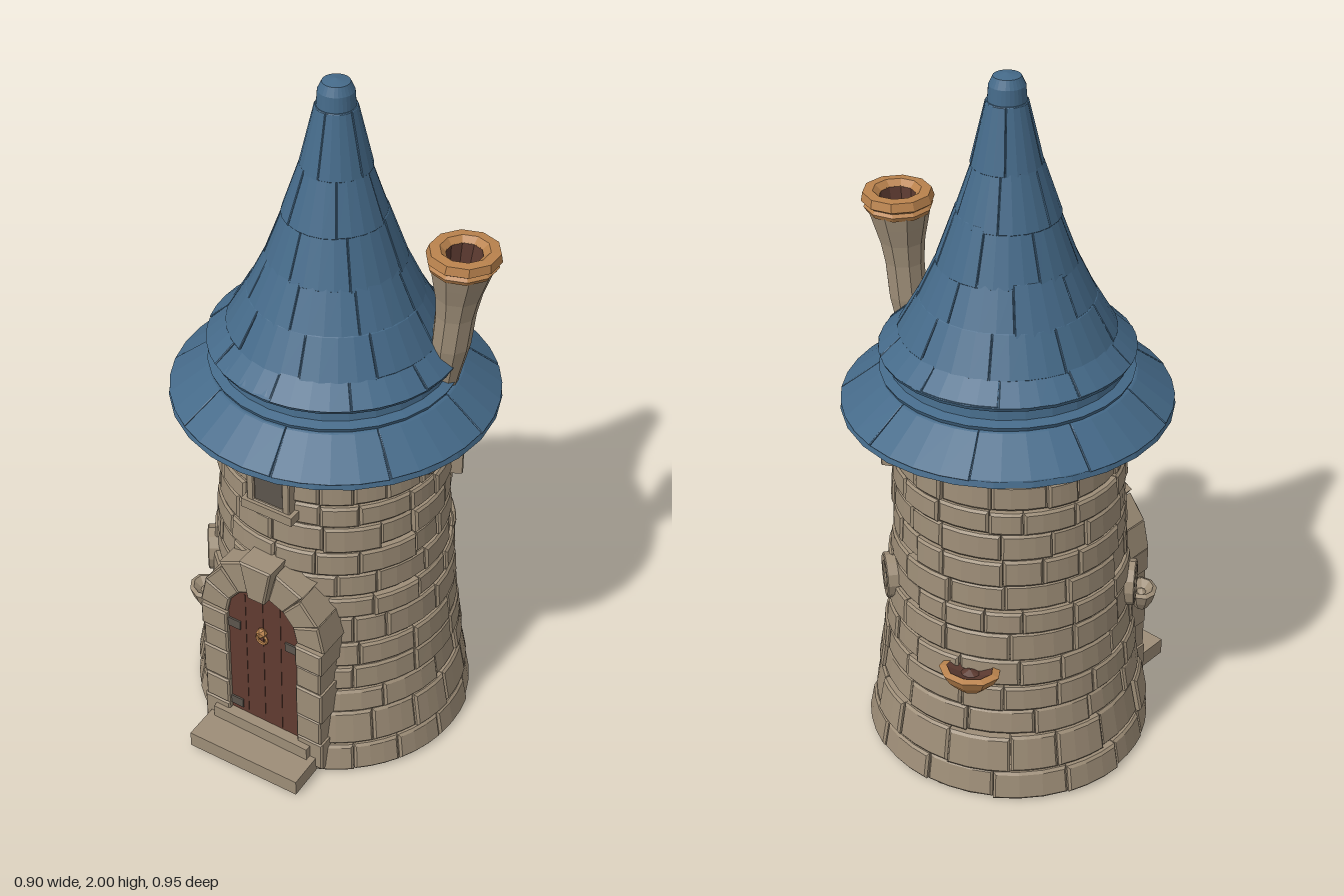
import * as THREE from 'three';
import { mergeGeometries } from 'three/addons/utils/BufferGeometryUtils.js';

const mat = (name, color) => new THREE.MeshStandardMaterial({ name, color, flatShading: true });
const lerp = THREE.MathUtils.lerp;

// piecewise-linear lookup through [y, value] pairs
const along = (pts) => (y) => {
  let i = 0;
  while (i < pts.length - 2 && y > pts[i + 1][0]) i++;
  const [y0, r0] = pts[i], [y1, r1] = pts[i + 1];
  return lerp(r0, r1, THREE.MathUtils.clamp((y - y0) / (y1 - y0), 0, 1));
};

const lathe = (pts, sides) =>
  new THREE.LatheGeometry(pts.map(([r, y]) => new THREE.Vector2(r, y)), sides);

// bevelled block wrapped round the y axis between two angles and two heights
function bentBlock(a0, a1, y0, y1, rIn, rOut, bevel, segs = 3) {
  const g = new THREE.BoxGeometry(1, 1, 1, segs, 1, 2), p = g.attributes.position;
  for (let i = 0; i < p.count; i++) {
    const w = p.getZ(i) + 0.5, inset = w > 0.9 ? bevel : 0;
    const y = lerp(y0 + inset, y1 - inset, p.getY(i) + 0.5);
    const ro = rOut(y), ia = inset / ro;
    const a = lerp(a0 + ia, a1 - ia, p.getX(i) + 0.5);
    const r = w < 0.1 ? rIn(y) : w < 0.9 ? ro - bevel * 0.8 : ro;
    p.setXYZ(i, Math.sin(a) * r, y, Math.cos(a) * r);
  }
  g.computeVertexNormals();
  return g;
}

// window outlines centred on the origin
function outline(kind, w, h) {
  const s = new THREE.Shape();
  if (kind === 'oval') s.absellipse(0, 0, w, h, 0, Math.PI * 2);
  else if (kind === 'rect') {
    s.moveTo(-w, -h); s.lineTo(w, -h); s.lineTo(w, h); s.lineTo(-w, h); s.closePath();
  } else {
    s.moveTo(-w, -h); s.lineTo(w, -h); s.lineTo(w, h * 0.2);
    s.quadraticCurveTo(w * 0.85, h * 0.65, 0, h);
    s.quadraticCurveTo(-w * 0.85, h * 0.65, -w, h * 0.2);
    s.closePath();
  }
  return s;
}
const extrude = (shape, depth, bevel = 0) => new THREE.ExtrudeGeometry(shape, {
  depth, curveSegments: 6, bevelEnabled: bevel > 0, bevelSize: bevel, bevelThickness: bevel, bevelSegments: 1,
});

export function createModel() {
  const model = new THREE.Group();
  const stone = mat('stone', 0x9d8d77), blue = mat('roof blue', 0x456a89), glass = mat('glass blue', 0x4a7596),
    red = mat('door wood', 0x613b30), tan = mat('tan', 0xb9824d), brown = mat('dark brown', 0x5c3a30), grey = mat('dark grey', 0x5c554d);
  let seed = 7;
  const rnd = (lo = 0, hi = 1) => {
    seed = (seed * 16807) % 2147483647;
    return lo + (hi - lo) * (seed / 2147483647);
  };
  const add = (name, geo, material, parent = model, x = 0, y = 0, z = 0) => {
    const m = new THREE.Mesh(geo, material);
    m.name = name; m.position.set(x, y, z); parent.add(m);
    return m;
  };
  const group = (name, parent = model) => {
    const g = new THREE.Group(); g.name = name; parent.add(g); return g;
  };

  // tower wall: plain core with courses of wrapped stones
  const tower = group('tower');
  tower.position.z = -0.02; tower.scale.z = 0.98;
  const R = along([[0, 0.415], [0.08, 0.4], [0.25, 0.368], [0.45, 0.347], [0.7, 0.33], [1, 0.312], [1.14, 0.29]]);
  const core = (y) => R(y) - 0.032;
  const ys = [0.01, 0.08, 0.25, 0.45, 0.7, 1, 1.14];
  add('wallCore', lathe([[0, 0], [0.4, 0], ...ys.map((y) => [core(y), y])], 28), stone, tower);
  const stones = [];
  const courses = [0.005, 0.09, 0.2, 0.28, 0.36, 0.44, 0.53, 0.6, 0.68, 0.76, 0.84, 0.91, 0.99, 1.06, 1.13];
  for (let i = 0; i < courses.length - 1; i++) {
    // lower courses stop either side of the doorway
    const gap = courses[i] < 0.58 ? 0.42 : 0, start = gap || rnd(0, 1);
    const stop = start + Math.PI * 2 - 2 * gap;
    for (let a = start; a < stop - 0.01;) {
      let end = a + rnd(0.28, 0.55);
      if (stop - end < 0.28) end = stop;
      const out = rnd(-0.006, 0.009), y0 = courses[i] + (i ? rnd(0, 0.005) : 0), y1 = courses[i + 1] - rnd(-0.002, 0.004);
      stones.push(bentBlock(a + 0.003, end - 0.003, y0, y1, (y) => core(y) - 0.02, (y) => R(y) + out, 0.007));
      a = end;
    }
  }
  add('wallStones', mergeGeometries(stones), stone, tower);

  // windows: angle, height, half width, half height
  const windows = [
    { name: 'frontWindow', a: 0, y: 0.97, w: 0.048, h: 0.085, kind: 'arch', pane: grey, rim: 0.017 },
    { name: 'rightOvalWindow', a: -0.98, y: 0.5, w: 0.042, h: 0.054, kind: 'oval', pane: grey, rim: 0.013 },
    { name: 'upperSideWindow', a: 1.48, y: 0.995, w: 0.03, h: 0.05, kind: 'oval', pane: glass, rim: 0.006 },
    { name: 'framedSideWindow', a: 2.08, y: 0.9, w: 0.024, h: 0.045, kind: 'oval', pane: glass, rim: 0.023, outer: 'rect', lift: 0.02 },
    { name: 'rearRoundWindow', a: 2.52, y: 0.53, w: 0.037, h: 0.044, kind: 'oval', pane: glass, rim: 0.02 },
  ];
  for (const o of windows) {
    const g = group(o.name, tower), r = R(o.y) - 0.03, lift = o.lift || 0;
    g.position.set(Math.sin(o.a) * r, o.y, Math.cos(o.a) * r);
    g.rotation.y = o.a;
    const ring = outline(o.outer || o.kind, o.w + o.rim, o.h + o.rim);
    ring.holes.push(new THREE.Path(outline(o.kind, o.w, o.h).getPoints(6)));
    add('windowFrame', extrude(ring, 0.047 + lift, 0.003), stone, g);
    add('windowPane', extrude(outline(o.kind, o.w + 0.002, o.h + 0.002), 0.006), o.pane, g, 0, 0, 0.037 + lift);
    if (o.kind === 'arch') add('windowSill', new THREE.BoxGeometry(0.16, 0.028, 0.07), stone, g, 0, -0.1, 0.025);
  }

  // ledge beneath the oval window, shelf fungus at the rear
  const shelf = (name, a, y, w, lift, material, top) => {
    const g = group(name, tower), r = R(y) + lift;
    g.position.set(Math.sin(a) * r, y, Math.cos(a) * r);
    g.rotation.y = a;
    const cup = add('shelfCup', lathe([[0, -0.045], [w * 0.45, -0.03], [w * 0.8, 0], [w, 0.03], [w * 0.75, 0.036]], 9), material, g);
    const lid = add('shelfTop', lathe([[w * 0.78, 0.034], [w * 0.3, 0.018], [0, 0.03]], 9), top, g);
    cup.scale.z = lid.scale.z = 0.8;
  };
  shelf('windowLedge', -0.76, 0.39, 0.056, 0.03, stone, stone);
  shelf('shelfFungus', Math.PI + 0.44, 0.385, 0.088, 0.01, tan, brown);

  // door with hinges and knocker
  const door = group('door');
  const leaf = new THREE.Shape();
  leaf.moveTo(-0.125, 0.09); leaf.lineTo(0.125, 0.09); leaf.lineTo(0.125, 0.48);
  leaf.absarc(0, 0.48, 0.125, 0, Math.PI); leaf.closePath();
  add('doorLeaf', extrude(leaf, 0.065), red, door, 0, 0, 0.28);
  for (const x of [-0.058, 0, 0.058])
    add('plankGroove', new THREE.BoxGeometry(0.003, x ? 0.46 : 0.49, 0.003), brown, door, x, x ? 0.335 : 0.35, 0.345);
  for (const [x, y] of [[-0.095, 0.13], [-0.095, 0.44], [0.095, 0.44]])
    add('hinge', new THREE.BoxGeometry(0.04, 0.03, 0.008), grey, door, x, y, 0.346);
  add('knockerBoss', new THREE.IcosahedronGeometry(0.017, 0), tan, door, 0, 0.455, 0.352);
  add('knockerRing', new THREE.TorusGeometry(0.016, 0.005, 5, 10), tan, door, 0, 0.432, 0.352);

  // stone door surround: jamb blocks, arch wedges and a keystone
  const quad = (pts) => extrude(new THREE.Shape(pts.map(([x, y]) => new THREE.Vector2(x, y))), 0.15, 0.005);
  const surround = group('doorSurround');
  const jambs = [0.02, 0.12, 0.21, 0.32, 0.4, 0.475];
  for (const s of [-1, 1]) for (let i = 0; i < 5; i++) {
    const h = jambs[i + 1] - jambs[i] - 0.011, w = i % 2 ? 0.07 : 0.076;
    add('jambStone', quad([[-w / 2, -h / 2], [w / 2, -h / 2], [w / 2, h / 2], [-w / 2, h / 2]]), stone, surround,
      s * (0.12 + w / 2), (jambs[i] + jambs[i + 1]) / 2, 0.203 + rnd(0, 0.006));
  }
  for (let i = 0; i < 7; i++) {
    const key = i === 3, a0 = (i / 7) * Math.PI + 0.03, a1 = ((i + 1) / 7) * Math.PI - 0.03;
    const at = (r, a) => [Math.cos(a) * r, 0.48 + Math.sin(a) * r];
    const out = key ? 0.235 : i === 2 || i === 4 ? 0.215 : 0.2;
    add(key ? 'keystone' : 'archStone', quad([at(0.12, a0), at(out, a0), at(out, a1), at(0.12, a1)]),
      stone, surround, 0, 0, key ? 0.224 : 0.2);
  }
  // front steps
  add('lowerStep', new THREE.BoxGeometry(0.36, 0.05, 0.17), stone, model, 0, 0.033, 0.383).rotation.y = 0.02;
  add('doorSill', new THREE.BoxGeometry(0.32, 0.05, 0.14), stone, model, 0, 0.073, 0.307);

  // roof: flared brim, collar and stepped cone of shingles
  const roof = group('roof');
  roof.position.z = -0.026;
  const tiers = [
    [1.098, 0.447, 1.178, 0.342, 9], [1.25, 0.342, 1.312, 0.275, 10], [1.3, 0.29, 1.4, 0.232, 9],
    [1.39, 0.238, 1.51, 0.18, 8], [1.5, 0.185, 1.64, 0.133, 7], [1.63, 0.138, 1.77, 0.09, 6], [1.765, 0.094, 1.93, 0.054, 5],
  ];
  const shell = [[0.27, 1.13], [0.385, 1.11], [0.428, 1.073], [0.449, 1.08], [0.444, 1.096], [0.336, 1.176],
    [0.342, 1.19], [0.316, 1.198], [0.311, 1.228], [0.337, 1.236], [0.343, 1.248]];
  for (const [y0, r0, y1, r1] of tiers.slice(1)) shell.push([r0 - 0.006, y0 + 0.002], [r1 - 0.004, y1]);
  shell.push([0.047, 1.97], [0.036, 1.993], [0, 2]);
  add('roofShell', lathe(shell, 28), blue, roof);
  const shingles = [];
  for (const [y0, r0, y1, r1, n] of tiers) {
    const r = along([[y0, r0], [y1, r1]]), shift = rnd(0, 1);
    for (let i = 0; i < n; i++) {
      const step = (Math.PI * 2) / n, a = shift + i * step, lift = rnd(-0.001, 0.003);
      shingles.push(bentBlock(a + 0.003, a + step - 0.003, y0 - rnd(0, 0.006), y1, (y) => r(y) - 0.015, (y) => r(y) + lift, 0.002, 4));
    }
  }
  add('shingles', mergeGeometries(shingles), blue, roof);
  // eaves: dark lining and rafters
  add('eavesLining', lathe([[0.27, 1.115], [0.388, 1.103]], 28), brown, roof);
  for (let i = 0; i < 18; i++) {
    const a = (i / 18) * Math.PI * 2;
    add('rafter', new THREE.BoxGeometry(0.03, 0.03, 0.13), i % 3 ? brown : tan, roof,
      Math.sin(a) * 0.335, 1.1, Math.cos(a) * 0.335).rotation.y = a;
  }

  // leaning chimney with a clay rim
  const chimney = group('chimney');
  chimney.position.z = -0.085;
  const lean = (g) => {
    const p = g.attributes.position;
    for (let i = 0; i < p.count; i++) p.setX(i, p.getX(i) + 0.3 + (p.getY(i) - 1.15) * 0.095);
    g.computeVertexNormals();
    return g;
  };
  add('chimneyStack', lean(lathe([[0.03, 1.15], [0.04, 1.22], [0.052, 1.3], [0.054, 1.4], [0.062, 1.46], [0.075, 1.51], [0.085, 1.55]], 9)), stone, chimney);
  add('chimneyRim', lean(lathe([[0.055, 1.545], [0.086, 1.545], [0.093, 1.558], [0.085, 1.566], [0.098, 1.575], [0.092, 1.598], [0.065, 1.6], [0.048, 1.585]], 10)), tan, chimney);
  add('chimneyFlue', lean(lathe([[0.049, 1.586], [0.04, 1.5], [0, 1.47]], 10)), brown, chimney);
  return model;
}
